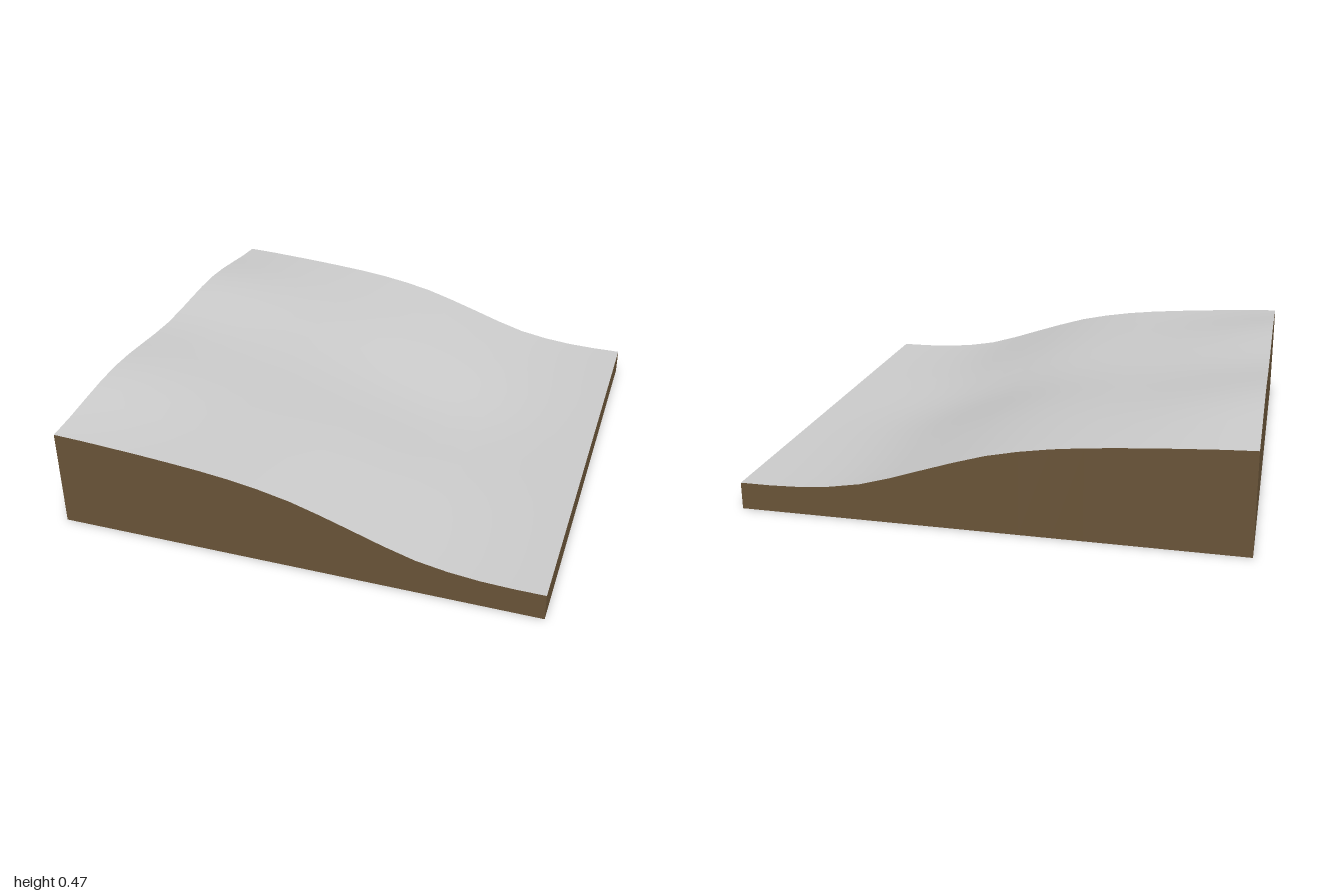
import * as THREE from 'three';

const SEGMENTS = 16;

// Smooth curve through evenly spaced values, t runs from -1 to 1
function spline(values, t) {
  const n = values.length - 1;
  const s = THREE.MathUtils.clamp((t + 1) / 2, 0, 1) * n;
  const i = Math.min(Math.floor(s), n - 1);
  const f = s - i;
  const at = (k) => values[THREE.MathUtils.clamp(k, 0, n)];
  const m0 = (at(i + 1) - at(i - 1)) / 2;
  const m1 = (at(i + 2) - at(i)) / 2;
  const f2 = f * f, f3 = f2 * f;
  return (2 * f3 - 3 * f2 + 1) * at(i) + (f3 - 2 * f2 + f) * m0
    + (3 * f2 - 2 * f3) * at(i + 1) + (f3 - f2) * m1;
}

// Heights from the high side (-x) to the low side (+x) along the outer edges
const EDGE = [0.415, 0.402, 0.384, 0.358, 0.31, 0.23, 0.15, 0.115, 0.11];
// Offsets from the edge height: the two ridges at z = +-0.5 and the gully at z = 0
const RIDGE = [0.05, 0.028, 0.005, -0.004, -0.006, -0.005, -0.002, 0, 0];
const GULLY = [0.025, 0.008, -0.01, -0.022, -0.03, -0.032, -0.018, -0.005, 0];

function heightAt(x, z) {
  const ridge = spline(RIDGE, x);
  return spline(EDGE, x) + spline([0, ridge, spline(GULLY, x), ridge, 0], z);
}

export function createModel() {
  const group = new THREE.Group();
  group.name = 'terrainBlock';

  // Rolling slope on top
  const surface = new THREE.PlaneGeometry(2, 2, SEGMENTS, SEGMENTS).rotateX(-Math.PI / 2);
  const p = surface.attributes.position;
  for (let i = 0; i < p.count; i++) p.setY(i, heightAt(p.getX(i), p.getZ(i)));
  surface.computeVertexNormals();
  const slope = new THREE.Mesh(surface, new THREE.MeshStandardMaterial({ color: 0xcccccc }));
  slope.name = 'slopeSurface';
  group.add(slope);

  // Earth walls and floor: a box whose upper rim follows the slope, without its lid
  const earth = new THREE.BoxGeometry(2, 1, 2, SEGMENTS, 1, SEGMENTS);
  const q = earth.attributes.position;
  for (let i = 0; i < q.count; i++) {
    q.setY(i, q.getY(i) > 0 ? heightAt(q.getX(i), q.getZ(i)) : 0);
  }
  const lid = earth.groups[2];
  const index = Array.from(earth.index.array);
  index.splice(lid.start, lid.count);
  earth.setIndex(index);
  earth.clearGroups();
  const base = new THREE.Mesh(earth, new THREE.MeshStandardMaterial({ color: 0x6b5539 }));
  base.name = 'earthBase';
  group.add(base);

  return group;
}
